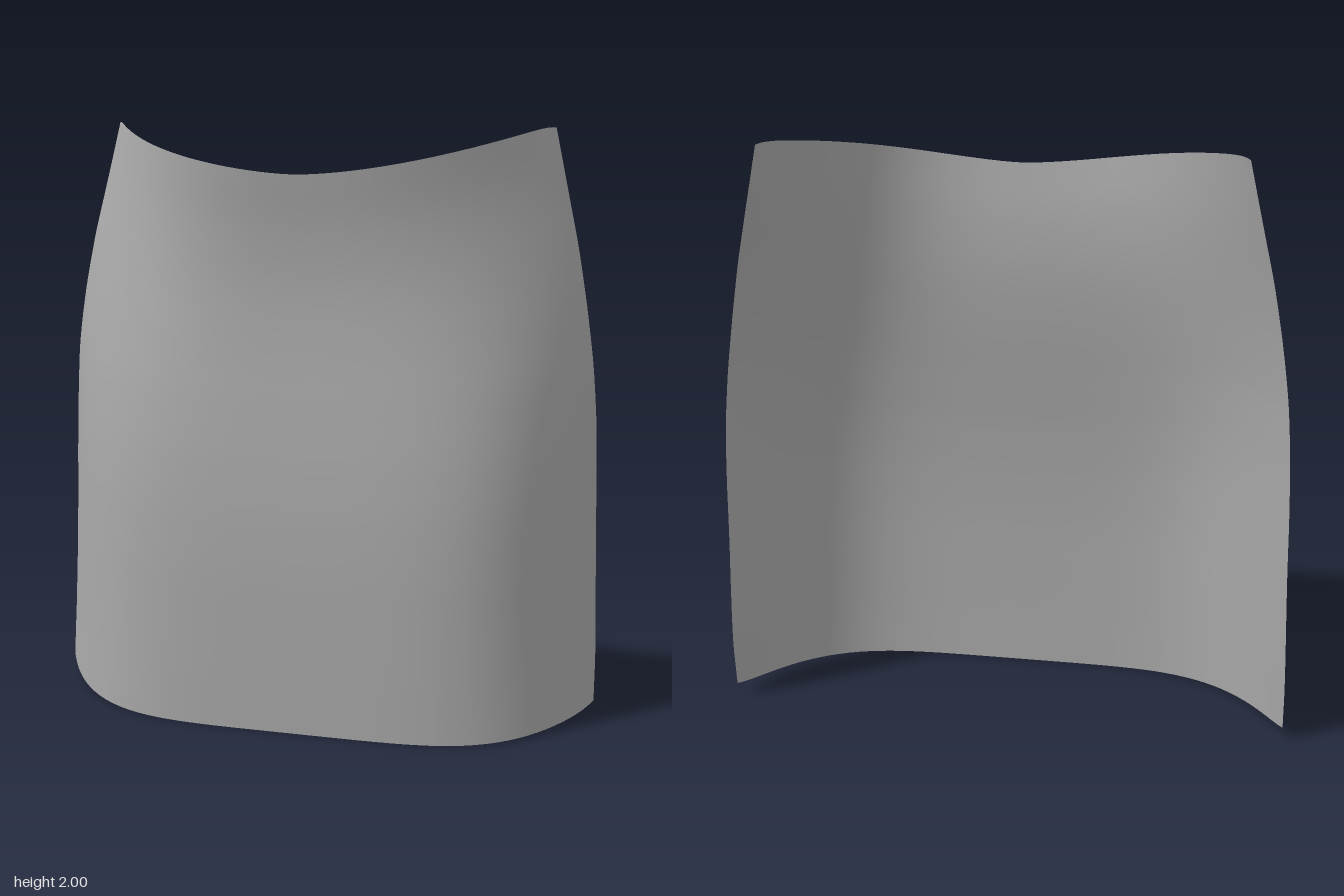
import * as THREE from 'three';

// Rows from bottom to top, evenly spaced: half width, z of the middle, z of the side edge
const ROWS = [
  [0.96, 0.255, -0.175], [0.957, 0.259, -0.2], [0.95, 0.261, -0.208],
  [0.943, 0.262, -0.211], [0.938, 0.257, -0.214], [0.93, 0.245, -0.215],
  [0.914, 0.227, -0.207], [0.886, 0.209, -0.21], [0.85, 0.2, -0.225],
  [0.805, 0.21, -0.245], [0.76, 0.238, -0.262],
];

// Curved panel: each row is an arc that is squarer at the bottom and rounder at the top
function panelGeometry(cols = 64, rows = 48) {
  const profile = new THREE.CatmullRomCurve3(ROWS.map((r) => new THREE.Vector3(...r)));
  const geometry = new THREE.PlaneGeometry(2, 1, cols, rows);
  const pos = geometry.attributes.position;
  for (let i = 0; i < pos.count; i++) {
    const s = Math.sin((pos.getX(i) * Math.PI) / 2);
    const t = Math.abs(s);
    const v = THREE.MathUtils.clamp(pos.getY(i) + 0.5, 0, 1);
    const { x: width, y: zMid, z: zEdge } = profile.getPoint(v);
    const power = THREE.MathUtils.lerp(4.7, 3.15, THREE.MathUtils.smoothstep(v, 0.4, 1));
    const depth = Math.pow(t, power);
    // scooped top edge, slightly lifted bottom corners
    const top = 1.865 + 0.142 * Math.pow(t, 1.6) - 0.012 * Math.pow(t, 40);
    const bottom = 0.035 * depth + 0.013 * Math.pow(t, 40);
    pos.setXYZ(i, s * width, THREE.MathUtils.lerp(bottom, top, v), THREE.MathUtils.lerp(zMid, zEdge, depth));
  }
  geometry.computeVertexNormals();
  return geometry;
}

export function createModel() {
  const grey = new THREE.MeshStandardMaterial({ color: 0xa8a8a8, side: THREE.DoubleSide });
  grey.name = 'grey';
  const panel = new THREE.Mesh(panelGeometry(), grey);
  panel.name = 'curvedPanel';
  const group = new THREE.Group();
  group.name = 'curvedShield';
  group.add(panel);
  return group;
}
